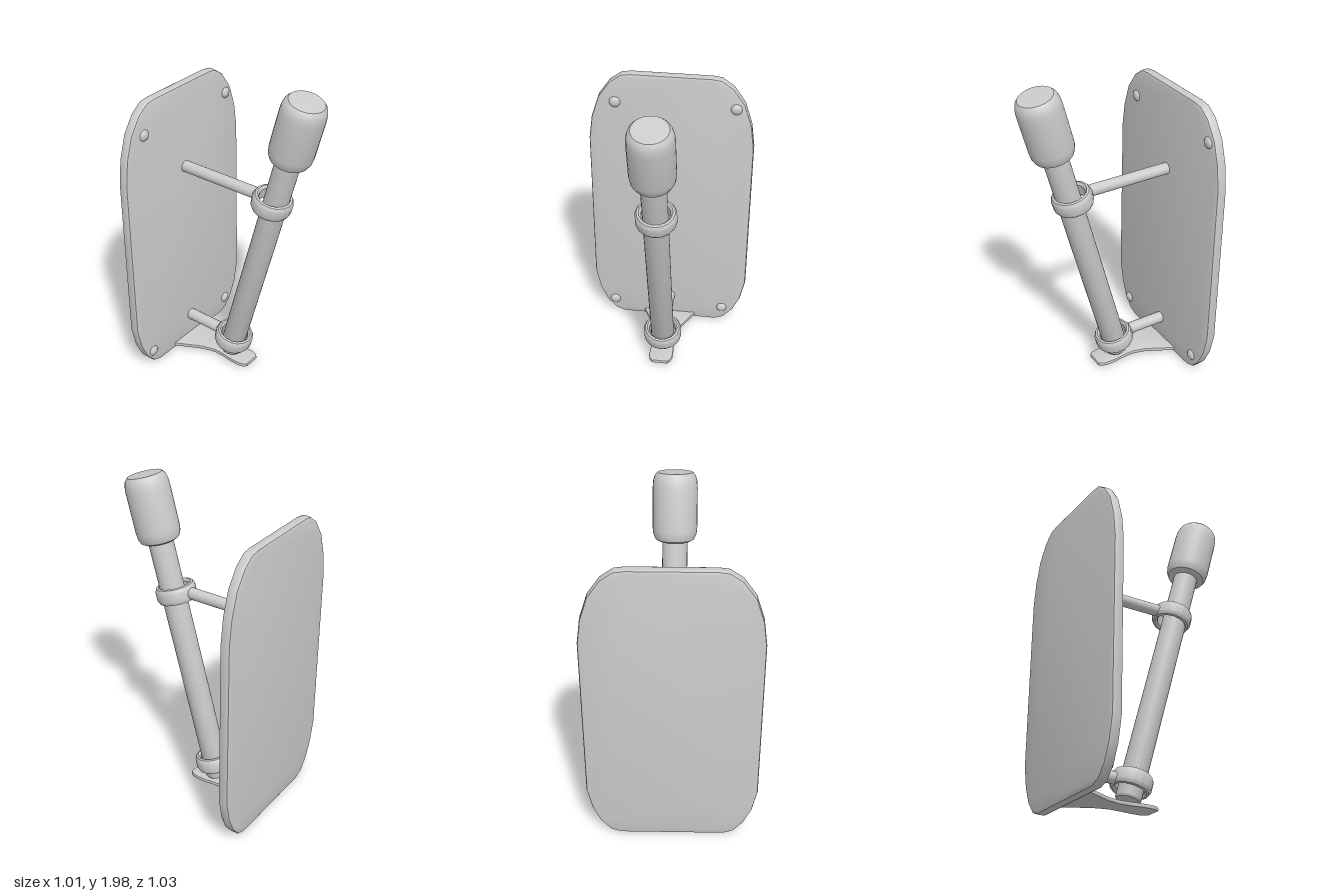
import * as THREE from 'three';
import { toCreasedNormals } from 'three/addons/utils/BufferGeometryUtils.js';

const TILT = 0.268; // lean of the shaft towards the front
const FOOT = new THREE.Vector3(0, 0.07, -0.113);

export function createModel() {
  const model = new THREE.Group();
  const material = new THREE.MeshStandardMaterial({ color: 0xcccccc });

  const add = (name, geometry, parent = model, crease = 0.6) => {
    const mesh = new THREE.Mesh(toCreasedNormals(geometry, crease), material);
    mesh.name = name;
    parent.add(mesh);
    return mesh;
  };
  const lathe = (points, segments) =>
    new THREE.LatheGeometry(points.map(([r, y]) => new THREE.Vector2(r, y)), segments);
  // Closed outline from its right half, listed bottom to top
  const mirroredShape = (half) => new THREE.Shape([
    ...half.map(([x, y]) => new THREE.Vector2(x, y)),
    ...half.slice().reverse().map(([x, y]) => new THREE.Vector2(-x, y)),
  ]);
  const bevelled = (shape, thickness, bevel) => new THREE.ExtrudeGeometry(shape, {
    depth: thickness - 2 * bevel, bevelThickness: bevel, bevelSize: bevel,
    bevelOffset: -bevel, bevelSegments: 2,
  }).translate(0, 0, bevel);

  // Wall plate with large rounded corners
  const plate = add('wallPlate', bevelled(mirroredShape([
    [0.31, 0.008], [0.37, 0.03], [0.43, 0.1], [0.475, 0.2], [0.505, 0.34],
    [0.505, 1.38], [0.485, 1.53], [0.44, 1.67], [0.37, 1.77], [0.3, 1.82], [0.24, 1.828],
  ]), 0.062, 0.014));
  plate.position.z = -0.512;

  // Domed screw heads
  [[-0.34, 1.64], [0.39, 1.64], [-0.375, 0.115], [0.355, 0.115]].forEach(([x, y]) => {
    const screw = add('screwHead', new THREE.SphereGeometry(0.035, 14, 10), model, 1);
    screw.scale.z = 0.6;
    screw.position.set(x, y, -0.453);
  });

  // Leaning shaft and its thick head
  const torch = new THREE.Group();
  torch.name = 'torch';
  torch.position.copy(FOOT);
  torch.rotation.x = TILT;
  model.add(torch);
  add('shaft', lathe([[0, 0], [0.066, 0], [0.074, 0.012], [0.074, 1.62], [0, 1.62]], 24), torch);
  add('head', lathe([
    [0, 1.565], [0.095, 1.565], [0.113, 1.575], [0.126, 1.602], [0.13, 1.635],
    [0.13, 1.875], [0.127, 1.915], [0.118, 1.945], [0.102, 1.963], [0, 1.966],
  ], 28), torch);

  // Loose holding rings, each on a bar from the plate
  [
    { y: 1.278, z: 0.195, barY: 1.3, barEnd: 0.095 },
    { y: 0.175, z: -0.09, barY: 0.188, barEnd: -0.19 },
  ].forEach(({ y, z, barY, barEnd }) => {
    const ring = add('holdingRing', lathe([
      [0.085, -0.035], [0.098, -0.051], [0.111, -0.047], [0.121, -0.028],
      [0.121, 0.028], [0.111, 0.047], [0.098, 0.051], [0.085, 0.035], [0.085, -0.035],
    ], 16));
    ring.position.set(0, y, z);
    ring.rotation.x = TILT;
    const length = barEnd + 0.47;
    const bar = add('supportBar', new THREE.CylinderGeometry(0.036, 0.036, length, 16));
    bar.rotation.x = Math.PI / 2;
    bar.position.set(0, barY, barEnd - length / 2);
  });

  // Flat tongue under the foot, flaring towards the plate
  const tongue = add('footTongue', bevelled(mirroredShape([
    [0.05, -0.055], [0.068, -0.035], [0.076, 0], [0.075, 0.06], [0.066, 0.13],
    [0.064, 0.2], [0.085, 0.28], [0.125, 0.36], [0.172, 0.45], [0.172, 0.48],
  ]), 0.024, 0.006));
  tongue.rotation.x = -Math.PI / 2;
  tongue.position.y = 0.023;

  return model;
}
